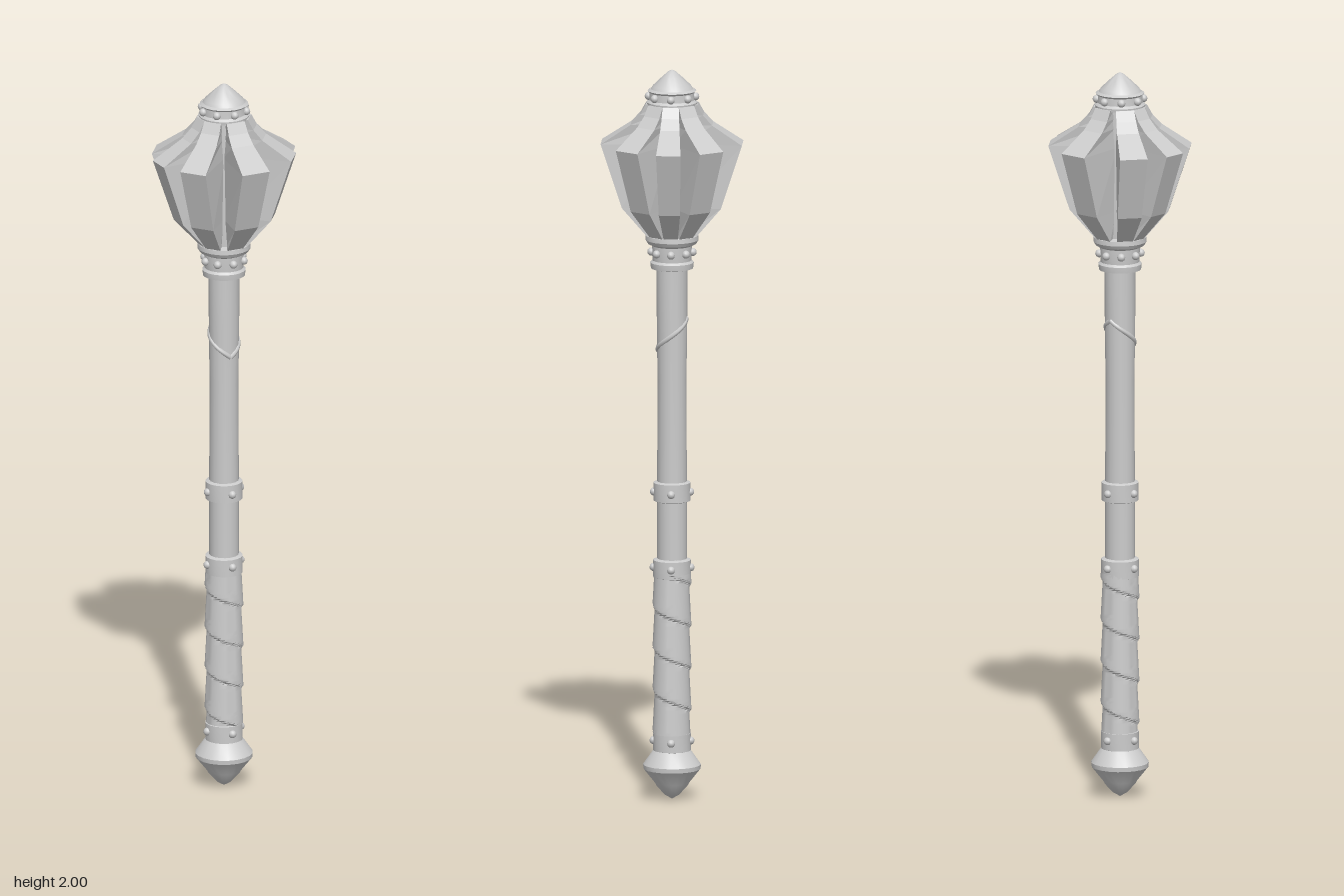
import * as THREE from 'three';
import { toCreasedNormals } from 'three/addons/utils/BufferGeometryUtils.js';

const material = new THREE.MeshStandardMaterial({ color: 0xcccccc });
const flatMaterial = new THREE.MeshStandardMaterial({ color: 0xcccccc, flatShading: true });

function add(parent, name, geometry, mat = material) {
  const mesh = new THREE.Mesh(geometry, mat);
  mesh.name = name;
  parent.add(mesh);
  return mesh;
}

// Turned part; profile is [radius, y] from bottom to top
function turned(parent, name, profile, sides = 20) {
  const points = profile.map(([r, y]) => new THREE.Vector2(r, y));
  return add(parent, name, toCreasedNormals(new THREE.LatheGeometry(points, sides), 0.5));
}

// Ring of rivet heads, first one facing the front
function rivets(parent, name, y, radius, count, size = 0.011) {
  const geometry = new THREE.SphereGeometry(size, 10, 8);
  for (let i = 0; i < count; i++) {
    const a = (i / count) * Math.PI * 2;
    add(parent, name, geometry).position.set(Math.sin(a) * radius, y, Math.cos(a) * radius);
  }
}

// Metal band with bevelled rims
function band(parent, name, y0, y1, r) {
  turned(parent, name, [[r - 0.012, y0], [r, y0 + 0.004], [r, y1 - 0.004], [r - 0.012, y1]]);
}

// Leather grip: radius steps along a helix so each turn overlaps the next
function gripGeometry(y0, y1, radius, pitch) {
  const g = new THREE.CylinderGeometry(radius, radius, y1 - y0, 32, 90, true);
  g.translate(0, (y0 + y1) / 2, 0);
  const p = g.attributes.position;
  for (let i = 0; i < p.count; i++) {
    const x = p.getX(i), y = p.getY(i), z = p.getZ(i);
    const t = (y - y0) / pitch + Math.atan2(x, z) / (Math.PI * 2) + 2;
    const f = t - Math.floor(t);
    const seam = f < 0.07 ? f / 0.07 : 1;
    const k = (radius - 0.006 + 0.009 * seam * (1 - 0.7 * f)) / radius;
    p.setXYZ(i, x * k, y, z * k);
  }
  return toCreasedNormals(g, 0.6);
}

// Flange: rectangles [outer radius, y, outer half width] stacked and skinned
function flangeGeometry(levels, reach, width) {
  const inner = 0.035, pos = [], index = [];
  levels.forEach(([r, y, w]) => {
    const R = 0.07 + (r - 0.07) * reach, W = w * width;
    pos.push(inner, y, W * 0.5, R, y, W, R, y, -W, inner, y, -W * 0.5);
  });
  for (let l = 0; l < levels.length - 1; l++) {
    for (let k = 0; k < 4; k++) {
      const a = l * 4 + k, b = l * 4 + (k + 1) % 4;
      index.push(a, b, b + 4, a, b + 4, a + 4);
    }
  }
  const t = (levels.length - 1) * 4;
  index.push(0, 2, 1, 0, 3, 2, t, t + 1, t + 2, t, t + 2, t + 3);
  const g = new THREE.BufferGeometry();
  g.setAttribute('position', new THREE.Float32BufferAttribute(pos, 3));
  g.setIndex(index);
  g.computeVertexNormals();
  return g;
}

// Cord wound round the shaft between two angles and heights
function cord(parent, a0, a1, y0, y1) {
  const points = [];
  for (let i = 0; i <= 16; i++) {
    const t = i / 16, a = a0 + (a1 - a0) * t;
    points.push(new THREE.Vector3(Math.sin(a) * 0.038, y0 + (y1 - y0) * t, Math.cos(a) * 0.038));
  }
  add(parent, 'shaftBinding', new THREE.TubeGeometry(new THREE.CatmullRomCurve3(points), 40, 0.007, 6));
}

export function createModel() {
  const model = new THREE.Group();
  model.name = 'mace';

  // Pommel and its collar
  turned(model, 'pommel', [[0, 0], [0.02, 0.012], [0.042, 0.036], [0.046, 0.044], [0.077, 0.083],
    [0.078, 0.095], [0.052, 0.132], [0.045, 0.138]]);
  band(model, 'pommelCollar', 0.13, 0.185, 0.051);
  rivets(model, 'pommelRivet', 0.16, 0.05, 4);

  // Shaft, wrapped grip and bands
  turned(model, 'shaft', [[0.04, 0.12], [0.04, 0.9], [0.039, 1.15], [0.041, 1.3], [0.042, 1.48]], 16);
  add(model, 'grip', gripGeometry(0.18, 0.62, 0.05, 0.115));
  band(model, 'gripBand', 0.605, 0.66, 0.051);
  rivets(model, 'gripBandRivet', 0.635, 0.05, 4);
  band(model, 'shaftBand', 0.815, 0.872, 0.05);
  rivets(model, 'shaftBandRivet', 0.842, 0.049, 4);

  // Crossed binding on the upper shaft
  cord(model, 0, Math.PI, 1.23, 1.32);
  cord(model, 0, -Math.PI, 1.23, 1.32);

  // Socket below the head
  turned(model, 'headSocket', [[0.04, 1.452], [0.057, 1.456], [0.059, 1.472], [0.053, 1.478], [0.054, 1.518],
    [0.066, 1.524], [0.072, 1.534], [0.071, 1.546], [0.05, 1.55]]);
  rivets(model, 'socketRivet', 1.5, 0.056, 8);

  // Head core and eight flanges
  const head = new THREE.Group();
  head.name = 'head';
  model.add(head);
  turned(head, 'headCore', [[0.05, 1.54], [0.052, 1.6], [0.052, 1.86], [0.05, 1.91]], 16);
  const levels = [[0.066, 1.545, 0.022], [0.137, 1.625, 0.033], [0.197, 1.8, 0.038],
    [0.112, 1.853, 0.03], [0.086, 1.88, 0.027], [0.07, 1.908, 0.025]];
  for (const degrees of [0, 37, 90, 143, 180, 217, 270, 323]) {
    const reach = degrees % 180 === 0 ? 1.01 : 0.95;
    const width = degrees % 180 === 0 ? 0.87 : degrees % 90 === 0 ? 1.08 : 1;
    const flange = add(head, 'flange', flangeGeometry(levels, reach, width), flatMaterial);
    flange.rotation.y = THREE.MathUtils.degToRad(degrees);
  }

  // Cap ring and pointed finial
  turned(model, 'capRing', [[0.05, 1.9], [0.068, 1.903], [0.069, 1.912], [0.062, 1.918], [0.061, 1.938],
    [0.066, 1.943], [0.058, 1.948]]);
  rivets(model, 'capRivet', 1.927, 0.063, 8);
  turned(model, 'finial', [[0.059, 1.945], [0.052, 1.956], [0.027, 1.98], [0.01, 1.995], [0, 2]], 24);

  return model;
}
